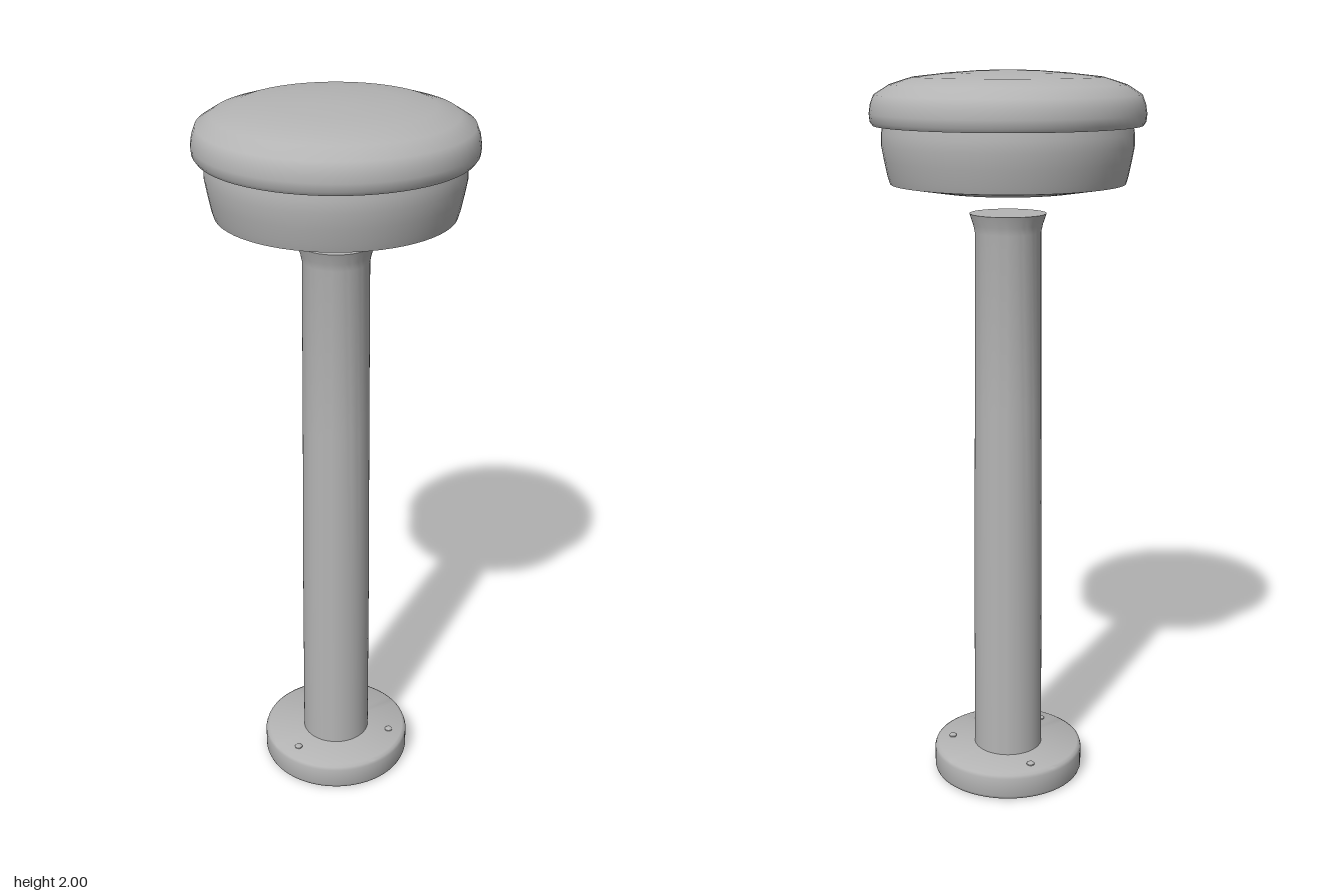
import * as THREE from 'three';
import { toCreasedNormals } from 'three/addons/utils/BufferGeometryUtils.js';

export function createModel() {
  const model = new THREE.Group();
  const grey = new THREE.MeshStandardMaterial({ color: 0xb4b4b4 });
  grey.name = 'paintedMetal';

  // Profiles run from bottom to top as [radius, height]
  const turned = (name, profile, crease = 0.7, segments = 64) => {
    const points = profile.map(([r, y]) => new THREE.Vector2(r, y));
    const geometry = toCreasedNormals(new THREE.LatheGeometry(points, segments), crease);
    const mesh = new THREE.Mesh(geometry, grey);
    mesh.name = name;
    model.add(mesh);
    return mesh;
  };

  // Round foot with softened rims
  turned('basePlate', [
    [0, 0], [0.205, 0], [0.212, 0.004], [0.215, 0.012],
    [0.215, 0.066], [0.212, 0.075], [0.204, 0.08], [0, 0.08],
  ]);

  // Tapered post with a flared collar
  turned('column', [
    [0.098, 0.08], [0.096, 0.6], [0.092, 1.1], [0.089, 1.58],
    [0.093, 1.6], [0.103, 1.63], [0, 1.63],
  ]);

  // Lower head with a socket above the post
  turned('lampBody', [
    [0, 1.73], [0.1, 1.73], [0.1, 1.682], [0.2, 1.692], [0.312, 1.71],
    [0.318, 1.73], [0.326, 1.77], [0.333, 1.81], [0.332, 1.84], [0.328, 1.862],
  ]);

  // Domed lid overhanging the body
  turned('lid', [
    [0, 1.86], [0.354, 1.86], [0.361, 1.87], [0.363, 1.89], [0.359, 1.915],
    [0.35, 1.938], [0.31, 1.963], [0.25, 1.982], [0.16, 1.992], [0.08, 1.998], [0, 2],
  ]);

  // Three anchor bolts around the post
  for (let i = 0; i < 3; i++) {
    const angle = Math.PI / 2 + (i * Math.PI * 2) / 3;
    const bolt = turned('anchorBolt', [
      [0.011, 0], [0.011, 0.004], [0.007, 0.008], [0, 0.009],
    ], 0.7, 16);
    bolt.position.set(Math.sin(angle) * 0.165, 0.079, Math.cos(angle) * 0.165);
  }
  return model;
}
